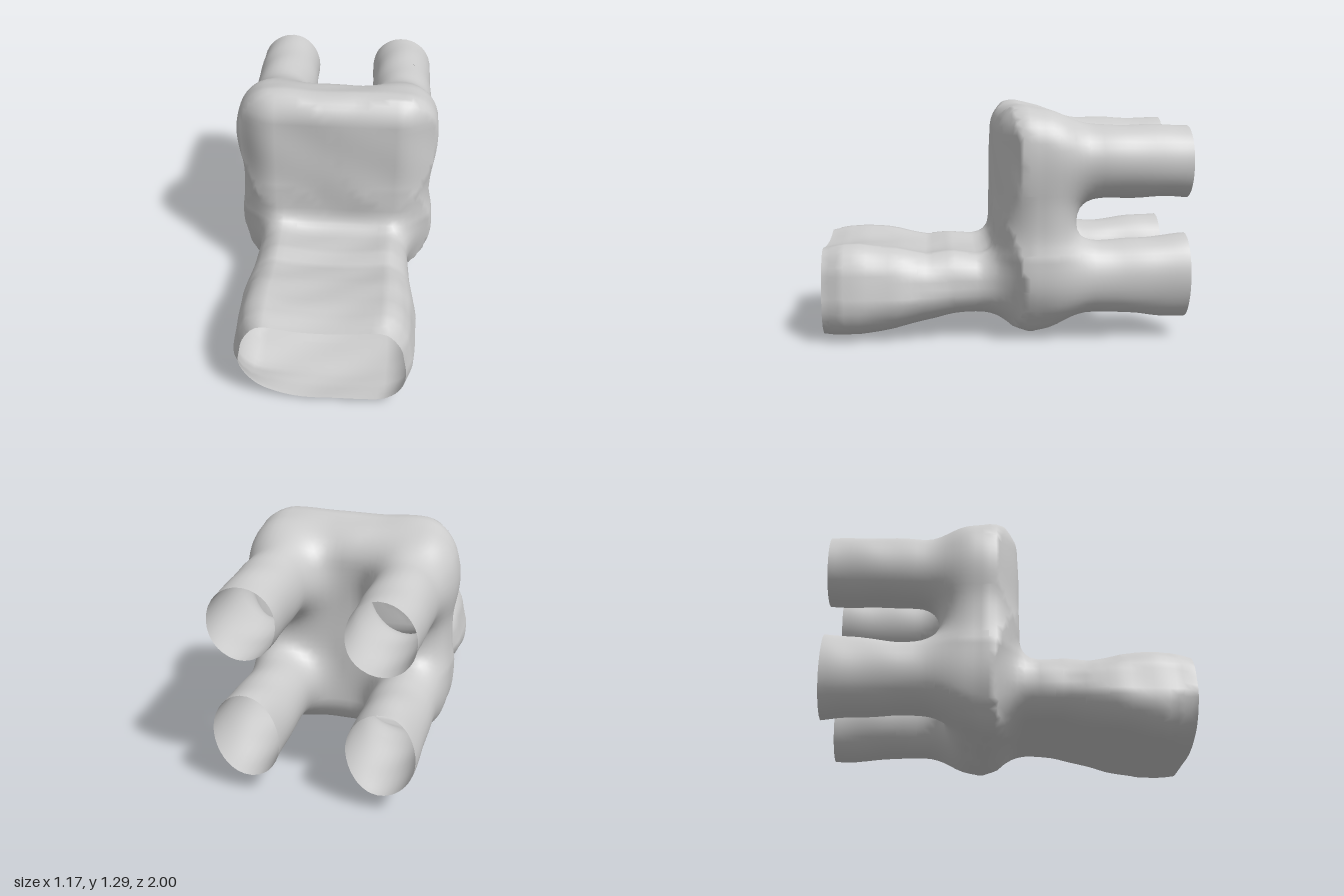
import * as THREE from 'three';

const H = 0.04; // sampling cell
const clamp = THREE.MathUtils.clamp;

// Front duct stations: z, bottom, top, half width
const DUCT = [
  [-0.2, 0.13, 0.48, 0.44], [0.15, 0.12, 0.485, 0.44], [0.3, 0.11, 0.5, 0.455], [0.43, 0.08, 0.485, 0.475],
  [0.6, 0.04, 0.52, 0.49], [0.8, 0.005, 0.54, 0.49], [0.9, 0.005, 0.535, 0.485], [1, 0.015, 0.52, 0.45],
];

// Values of a station table at t, linearly interpolated
function station(table, t) {
  let i = 0;
  while (i < table.length - 2 && t > table[i + 1][0]) i++;
  const a = table[i], b = table[i + 1];
  const f = clamp((t - a[0]) / (b[0] - a[0]), 0, 1);
  return a.map((v, j) => v + (b[j] - v) * f);
}

function roundBox(dx, dy, dz, r) {
  const x = dx + r, y = dy + r, z = dz + r;
  return Math.hypot(Math.max(x, 0), Math.max(y, 0), Math.max(z, 0)) + Math.min(Math.max(x, y, z), 0) - r;
}

function smoothMin(a, b, k) {
  const h = Math.max(k - Math.abs(a - b), 0) / k;
  return Math.min(a, b) - h * h * k * 0.25;
}

// Signed distance to the blended body, duct and tubes
function field(x, y, zz) {
  const z = clamp(zz, -1, 1), ax = Math.abs(x);

  // Upright body, narrowing downwards and forwards, with a sloping roof and a keeled underside
  const half = 0.54 - 0.09 * clamp((0.47 - y) / 0.35, 0, 1) - 0.35 * clamp(z + 0.12, 0, 0.17);
  const roof = 1.29 - 0.25 * clamp(-z - 0.1, 0, 0.4) - 0.02 * (x / 0.45) ** 2;
  const keel = 0.035 + 0.35 * Math.min(Math.abs(z + 0.14), 0.3);
  const bodyY = Math.abs(y - (roof + keel) / 2) - (roof - keel) / 2;
  const body = roundBox(ax - half, bodyY, Math.abs(z + 0.155) - 0.2, 0.14);

  // Wide front duct: bowed floor, sagging ceiling, sides leaning in, one lower rim corner cut back
  const [, y0, y1, w] = station(DUCT, z);
  const cut = x < 0 ? 0.5 * clamp(z - 0.82, 0, 0.18) : 0;
  const floor = y0 + (0.045 + cut) * (x / 0.45) ** 2;
  const ceiling = y1 - 0.035 * Math.max(0, 1 - (x / 0.33) ** 2);
  const ductY = Math.abs(y - (floor + ceiling) / 2) - (ceiling - floor) / 2;
  const lean = 0.04 * clamp((y - 0.25) / 0.2, 0, 1) * clamp(z / 0.5, 0, 1);
  const duct = Math.max(roundBox(ax - w + lean, ductY, -1, 0.15), -0.12 - z);

  // Two rear tubes on each side, the lower ones flaring towards their ends
  const tube = (cy, ry) => Math.max((Math.hypot((ax - 0.355) / 0.18, (y - cy) / ry) - 1) * 0.185, z + 0.12);
  const flare = 0.03 * clamp((-z - 0.6) / 0.4, 0, 1);
  const tubes = smoothMin(tube(0.985, 0.2), tube(0.345, 0.203 + flare), 0.2);

  // Faint unevenness of the skin
  const bumps = 0.004 * (Math.sin(13 * x + 4 * z) * Math.sin(17 * z + 5 * y) + Math.sin(15 * y + 9 * x - 6 * z) * 0.6);
  return smoothMin(smoothMin(body, tubes, 0.18), duct, 0.12) + bumps;
}

function gradient(p) {
  const e = 0.004;
  return new THREE.Vector3(
    field(p.x + e, p.y, p.z) - field(p.x - e, p.y, p.z),
    field(p.x, p.y + e, p.z) - field(p.x, p.y - e, p.z),
    field(p.x, p.y, p.z + e) - field(p.x, p.y, p.z - e),
  ).divideScalar(2 * e);
}

// Part name for a place on the skin
function partAt(c) {
  if (c.z > 0.08 && c.y < 0.54) return 'frontDuct';
  if (c.z > -0.44) return 'body';
  return (c.y > 0.67 ? 'upper' : 'lower') + (c.x > 0 ? 'Left' : 'Right') + 'RearTube';
}

// Skin the field with one vertex per crossed cell, one quad per crossed edge
function buildParts() {
  const n = [32, 36, 51], origin = [-0.64, -0.08, -1 - H / 2];
  const at = (i, j, k) => (k * (n[1] + 1) + j) * (n[0] + 1) + i;
  const values = [], cells = new Map(), parts = {};
  for (let k = 0; k <= n[2]; k++) for (let j = 0; j <= n[1]; j++) for (let i = 0; i <= n[0]; i++) {
    values[at(i, j, k)] = field(origin[0] + i * H, origin[1] + j * H, origin[2] + k * H);
  }

  function cellVertex(c) {
    const id = at(...c);
    if (cells.has(id)) return cells.get(id);
    const p = new THREE.Vector3(...c.map((v, a) => origin[a] + (v + 0.5) * H));
    const end = c[2] === 0 || c[2] === n[2] - 1; // open rims stay in their plane
    const reach = H * 0.75;
    const low = p.clone().subScalar(reach), high = p.clone().addScalar(reach);
    for (let s = 0; s < 6; s++) {
      const g = gradient(p);
      if (end) g.z = 0;
      p.addScaledVector(g, -0.8 * field(p.x, p.y, p.z) / Math.max(g.lengthSq(), 0.1));
      p.clamp(low, high);
      p.z = end ? Math.sign(p.z) : clamp(p.z, -1, 1);
    }
    const vertex = { p, normal: gradient(p).normalize() };
    cells.set(id, vertex);
    return vertex;
  }

  function addQuads(c) {
    for (let a = 0; a < 3; a++) {
      const next = c.slice();
      next[a]++;
      const low = values[at(...c)] < 0, high = values[at(...next)] < 0;
      if (low === high || (a === 2 && c[2] === n[2] - 1)) continue;
      const b = (a + 1) % 3, d = (a + 2) % 3;
      const quad = [[1, 1], [0, 1], [0, 0], [1, 0]].map(([u, v]) => {
        const q = c.slice();
        q[b] -= u;
        q[d] -= v;
        return cellVertex(q);
      });
      if (!low) quad.reverse();
      const centre = quad.reduce((s, v) => s.add(v.p), new THREE.Vector3()).divideScalar(4);
      const list = (parts[partAt(centre)] ??= []);
      for (const t of [0, 1, 2, 0, 2, 3]) list.push(quad[t]);
    }
  }

  for (let k = 1; k < n[2]; k++) for (let j = 1; j < n[1]; j++) for (let i = 1; i < n[0]; i++) addQuads([i, j, k]);
  return parts;
}

export function createModel() {
  const group = new THREE.Group();
  group.name = 'branchedDuct';
  const material = new THREE.MeshStandardMaterial({ color: 0xcccccc, side: THREE.DoubleSide });
  for (const [name, vertices] of Object.entries(buildParts())) {
    const geometry = new THREE.BufferGeometry();
    geometry.setAttribute('position', new THREE.Float32BufferAttribute(vertices.flatMap((v) => v.p.toArray()), 3));
    geometry.setAttribute('normal', new THREE.Float32BufferAttribute(vertices.flatMap((v) => v.normal.toArray()), 3));
    const mesh = new THREE.Mesh(geometry, material);
    mesh.name = name;
    group.add(mesh);
  }
  return group;
}
